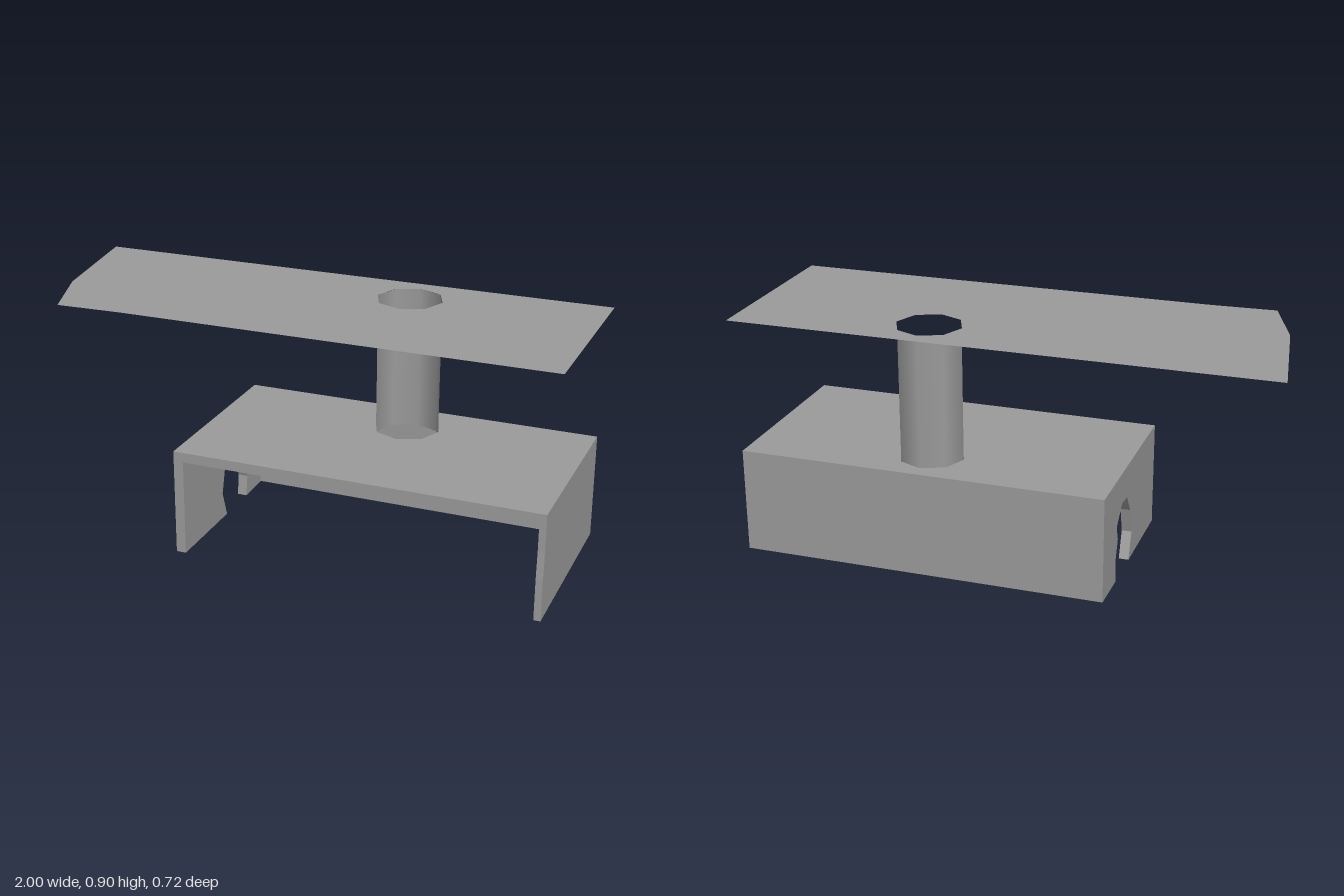
import * as THREE from 'three';

const grey = new THREE.MeshStandardMaterial({ color: 0x9b9b9b });
const greyThin = new THREE.MeshStandardMaterial({ color: 0x9b9b9b, side: THREE.DoubleSide });

const X0 = -0.403, X1 = 0.972, BACK = -0.36, FRONT = 0.35, TOP = 0.4;
const WALL = 0.037, THIN_WALL = 0.025, ROOF = 0.9;
const PIPE = { x: 0.297, z: -0.182, r: 0.123 };

const shapeOf = (pts) => new THREE.Shape(pts.map(([a, b]) => new THREE.Vector2(a, b)));

// Octagonal opening for the pipe, in the x-z plane
function pipeHole() {
  const pts = [];
  for (let i = 0; i < 8; i++) {
    const a = -i * Math.PI / 4;
    pts.push(new THREE.Vector2(PIPE.x + PIPE.r * Math.cos(a), PIPE.z + PIPE.r * Math.sin(a)));
  }
  return new THREE.Path(pts);
}

const extrude = (shape, depth) => new THREE.ExtrudeGeometry(shape, { depth, bevelEnabled: false });

// Upright end wall from a (z, y) outline, its +x face at x
const endWall = (pts, x, depth) => extrude(shapeOf(pts), depth).rotateY(-Math.PI / 2).translate(x, 0, 0);

export function createModel() {
  const model = new THREE.Group();
  const add = (name, geometry, material = grey) => {
    const mesh = new THREE.Mesh(geometry, material);
    mesh.name = name;
    model.add(mesh);
  };

  // Housing top with the pipe opening
  const topShape = shapeOf([[X0, BACK], [X1, BACK], [X1, FRONT], [X0, FRONT]]);
  topShape.holes.push(pipeHole());
  add('housingTop', extrude(topShape, WALL).rotateX(Math.PI / 2).translate(0, TOP, 0));

  // Back wall; front and bottom stay open
  const h = TOP - WALL, base = 0.004;
  const left = X0 + WALL, right = X1 - THIN_WALL;
  add('backWall', new THREE.BoxGeometry(right - left, h - base, WALL)
    .translate((left + right) / 2, (h + base) / 2, BACK + WALL / 2));

  // Solid end wall, its front edge swelling slightly toward the base
  add('leftWall', endWall(
    [[BACK, base], [0.356, base], [0.356, 0.16], [FRONT, 0.26], [FRONT, h], [BACK, h]], X1, THIN_WALL));

  // End wall with the rough arched doorway
  add('rightWall', endWall([
    [BACK, base], [-0.185, 0], [-0.195, 0.08], [-0.167, 0.16], [-0.186, 0.215],
    [-0.118, 0.28], [-0.05, 0.275], [0.003, 0.2], [0.03, 0.1], [-0.005, 0],
    [FRONT, 0], [FRONT, h], [BACK, h]], left, WALL));

  // Half-round pipe, open toward the front, lining the opening in the housing top
  const pipeR = PIPE.r - 0.001;
  add('halfPipe', new THREE.CylinderGeometry(pipeR, pipeR, ROOF - h, 4, 1, true, Math.PI / 2, Math.PI)
    .translate(PIPE.x, (ROOF + h) / 2, PIPE.z), greyThin);

  // Thin roof sheet with a slanted end
  const sheet = shapeOf([[-1, -0.362], [1, -0.362], [1, 0.35], [-0.6, 0.35], [-0.84, 0.36], [-0.93, 0.1]]);
  sheet.holes.push(pipeHole());
  add('roofSheet', new THREE.ShapeGeometry(sheet).rotateX(Math.PI / 2).translate(0, ROOF, 0), greyThin);

  return model;
}
